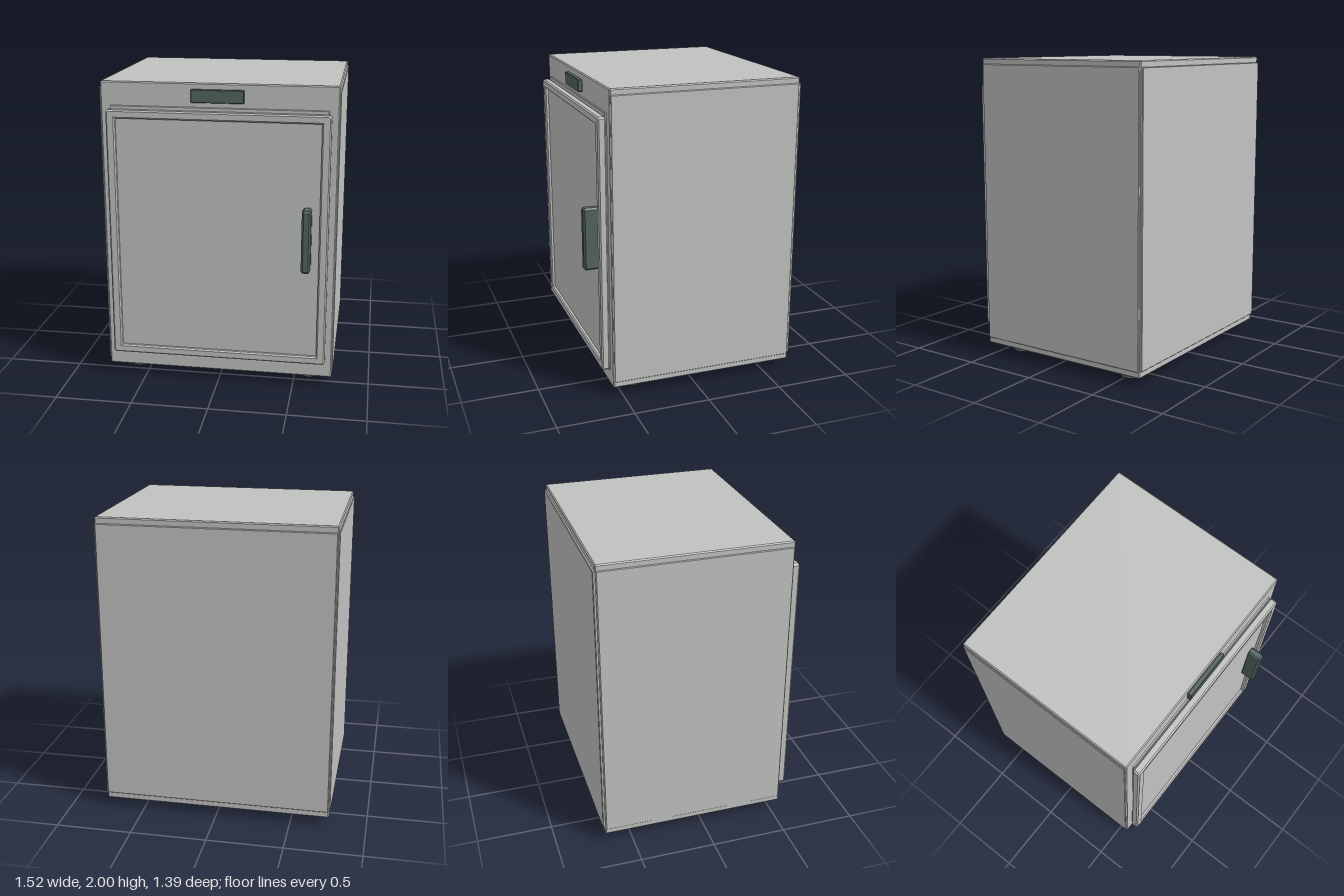
import * as THREE from 'three';
import { ConvexGeometry } from 'three/addons/geometries/ConvexGeometry.js';

// Box between two corners with all edges cut by c
function chamferBox(name, material, [x0, y0, z0], [x1, y1, z1], c) {
  const half = [(x1 - x0) / 2, (y1 - y0) / 2, (z1 - z0) / 2];
  const points = [];
  for (const sx of [-1, 1]) for (const sy of [-1, 1]) for (const sz of [-1, 1])
    for (let face = 0; face < 3; face++) {
      const h = half.map((v, i) => (i === face ? v : v - c));
      points.push(new THREE.Vector3(sx * h[0], sy * h[1], sz * h[2]));
    }
  const mesh = new THREE.Mesh(new ConvexGeometry(points), material);
  mesh.name = name;
  mesh.position.set((x0 + x1) / 2, (y0 + y1) / 2, (z0 + z1) / 2);
  return mesh;
}

// Rectangle outline with cut corners
function outline(path, x, y0, y1, c) {
  path.moveTo(-x + c, y0);
  path.lineTo(x - c, y0);
  path.lineTo(x, y0 + c);
  path.lineTo(x, y1 - c);
  path.lineTo(x - c, y1);
  path.lineTo(-x + c, y1);
  path.lineTo(-x, y1 - c);
  path.lineTo(-x, y0 + c);
  path.closePath();
  return path;
}

export function createModel() {
  const enamel = new THREE.MeshStandardMaterial({ color: 0xc0c2c0 });
  enamel.name = 'light grey enamel';
  const dark = new THREE.MeshStandardMaterial({ color: 0x536460 });
  dark.name = 'dark grey green plastic';

  const model = new THREE.Group();
  model.name = 'cabinet';

  // Cabinet core with thin side and back panels
  const cabinet = new THREE.Group();
  cabinet.name = 'cabinetBody';
  cabinet.add(chamferBox('cabinetCore', enamel, [-0.755, 0.06, -0.68], [0.755, 2, 0.562], 0.007));
  for (const [side, s] of [['left', 1], ['right', -1]]) {
    const xs = [s * 0.74, s * 0.762].sort((a, b) => a - b);
    cabinet.add(chamferBox(side + 'SidePanel', enamel, [xs[0], 0.1, -0.675], [xs[1], 1.962, 0.556], 0.004));
  }
  cabinet.add(chamferBox('backPanel', enamel, [-0.75, 0.105, -0.71 + 0.05], [0.75, 1.96, -0.64], 0.004));
  cabinet.children.at(-1).position.z = -0.683;
  model.add(cabinet);

  // Door: gasket, bevelled frame and recessed panel
  const door = new THREE.Group();
  door.name = 'door';
  door.add(chamferBox('doorGasket', enamel, [-0.692, 0.162, 0.55], [0.692, 1.848, 0.574], 0.003));
  const frameShape = outline(new THREE.Shape(), 0.71, 0.173, 1.827, 0.012);
  const opening = new THREE.Path();
  opening.moveTo(-0.652, 0.227);
  opening.lineTo(-0.652, 1.773);
  opening.lineTo(0.652, 1.773);
  opening.lineTo(0.652, 0.227);
  opening.closePath();
  frameShape.holes.push(opening);
  const frame = new THREE.Mesh(new THREE.ExtrudeGeometry(frameShape, {
    depth: 0.034, bevelEnabled: true, bevelSegments: 1,
    bevelSize: 0.009, bevelThickness: 0.009, bevelOffset: -0.009,
  }), enamel);
  frame.name = 'doorFrame';
  frame.position.z = 0.58;
  door.add(frame);
  const panel = new THREE.Mesh(new THREE.BoxGeometry(1.34, 1.58, 0.03), enamel);
  panel.name = 'doorPanel';
  panel.position.set(0, 1, 0.583);
  door.add(panel);
  door.add(chamferBox('doorHandle', dark, [0.545, 0.828, 0.59], [0.603, 1.237, 0.695], 0.012));
  model.add(door);

  // Control display above the door
  model.add(chamferBox('displayPlate', dark, [-0.168, 1.88, 0.562], [0.166, 1.962, 0.59], 0.003));

  // Four round feet
  const footGeometry = new THREE.CylinderGeometry(0.063, 0.063, 0.07, 24);
  for (const x of [-0.593, 0.593]) for (const z of [-0.507, 0.395]) {
    const foot = new THREE.Mesh(footGeometry, dark);
    foot.name = 'foot';
    foot.position.set(x, 0.035, z);
    model.add(foot);
  }
  return model;
}
